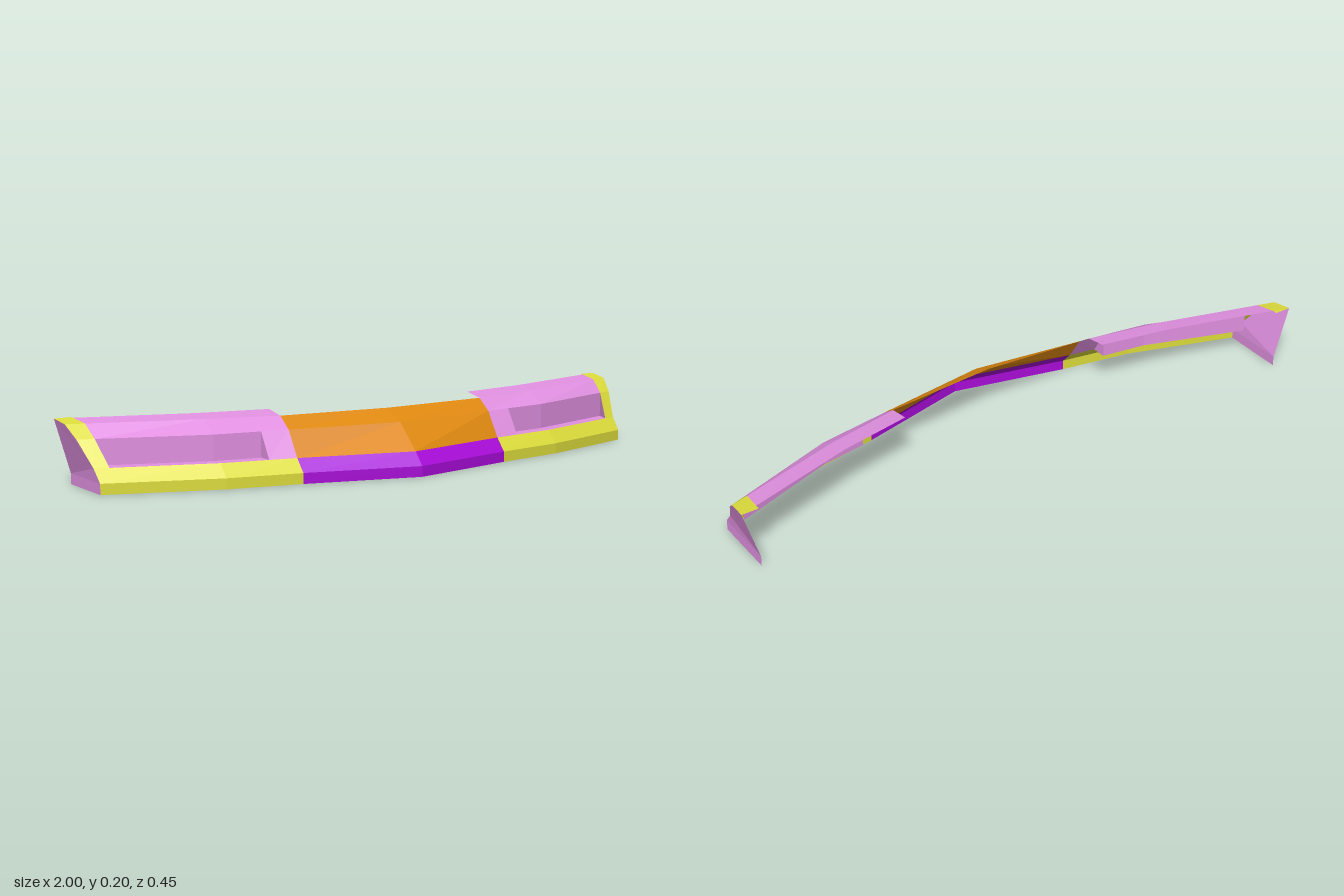
import * as THREE from 'three';

const mat = (name, color) => new THREE.MeshStandardMaterial({ name, color, side: THREE.DoubleSide, flatShading: true });

// Mesh from polygons, each listed counter-clockwise; mirror flips it to the other side
function faces(name, material, polygons, mirror = false) {
  const pos = [];
  for (const poly of polygons) {
    const p = mirror ? poly.map(([x, y, z]) => [-x, y, z]).reverse() : poly;
    for (let i = 1; i < p.length - 1; i++) pos.push(...p[0], ...p[i], ...p[i + 1]);
  }
  const geo = new THREE.BufferGeometry();
  geo.setAttribute('position', new THREE.Float32BufferAttribute(pos, 3));
  geo.computeVertexNormals();
  const mesh = new THREE.Mesh(geo, material);
  mesh.name = name;
  return mesh;
}

// Quads between rows of points running along +x, rows stacked upwards
function sheet(...rows) {
  const quads = [];
  for (let r = 0; r < rows.length - 1; r++)
    for (let i = 0; i < rows[r].length - 1; i++)
      quads.push([rows[r][i], rows[r][i + 1], rows[r + 1][i + 1], rows[r + 1][i]]);
  return quads;
}

// Point at a given x on the line between two points
function at(x, a, b) {
  const t = (x - a[0]) / (b[0] - a[0]);
  return a.map((v, i) => v + (b[i] - v) * t);
}

export function createModel() {
  const pink = mat('pink', 0xe090e0);
  const yellow = mat('yellow', 0xdcdc3c);
  const orange = mat('orange', 0xde8810);
  const purple = mat('purple', 0xa80cd8);
  const model = new THREE.Group();
  model.name = 'bumper';

  // Cross-sections from bottom to top: middle, seam, bend and outer end
  const middle = [[0, 0, .227], [0, .033, .227], [0, .073, .19], [0, .152, .103], [0, .188, .033]];
  const seam = [[.365, 0, .14], [.365, .033, .14], [.365, .073, .104], [.365, .152, .053], [.365, .188, .003], [.365, .2, -.066]];
  const bend = [[.6, 0, .097], [.6, .033, .097], [.6, .073, .062], [.6, .152, .018], [.6, .19, -.045], [.6, .2, -.11]];
  const end = [[.95, 0, -.017], [.95, .033, -.017], [.954, .073, -.052], [.98, .152, -.11], [.995, .192, -.158], [1, .201, -.225]];

  // Centre section
  const centreRow = i => [[-seam[i][0], seam[i][1], seam[i][2]], middle[i], seam[i]];
  model.add(faces('centreLip', purple, sheet(centreRow(0), centreRow(1), centreRow(2))));
  model.add(faces('centrePanel', orange, sheet(centreRow(2), centreRow(3), centreRow(4))));

  // Inner edge of the yellow end strip and inner edge of the recess
  const strip = [null, null, .91, .93, .938, .945].map((x, i) => x && at(x, bend[i], end[i]));
  const inner = [null, null, .452, .452].map((x, i) => x && at(x, seam[i], bend[i]));
  const row = i => [seam[i], bend[i], end[i]];
  const upper = i => [seam[i], bend[i], strip[i]];
  const stripRear = [.945, .201, -.225];

  // Recess edges: opening bottom, opening top and the floor's back edge
  const openLow = [inner[2], bend[2], strip[2]];
  const openHigh = [inner[3], bend[3], strip[3]];
  const floorBack = openHigh.map(p => [p[0], openLow[0][1], p[2]]);

  // End panel corners
  const rearLow = [.95, 0, -.225], rearMid = [.95, .033, -.225];

  for (const [side, mirror] of [['left', false], ['right', true]]) {
    const wing = new THREE.Group();
    wing.name = side + 'Wing';
    wing.add(
      faces('lowerLip', yellow, sheet(row(0), row(1), row(2)), mirror),
      faces('endStrip', yellow, [
        ...sheet([strip[2], end[2]], [strip[3], end[3]], [strip[4], end[4]]),
        [strip[4], end[4], end[5], stripRear, strip[5]],
      ], mirror),
      faces('upperPanel', pink, [
        ...sheet([seam[2], inner[2]], [seam[3], inner[3]]),
        [seam[3], inner[3], bend[3], bend[4], seam[4]],
        [bend[3], strip[3], strip[4], bend[4]],
        ...sheet(upper(4), upper(5)),
      ], mirror),
      faces('recess', pink, [
        ...sheet(openLow, floorBack, openHigh),
        [openLow[0], floorBack[0], openHigh[0]],
        [openHigh[2], floorBack[2], openLow[2]],
      ], mirror),
      faces('endPanel', pink, [
        [end[0], rearLow, rearMid, end[1]],
        [end[1], rearMid, end[2]],
        [rearMid, end[5], end[4], end[3], end[2]],
      ], mirror),
    );
    model.add(wing);
  }
  return model;
}
